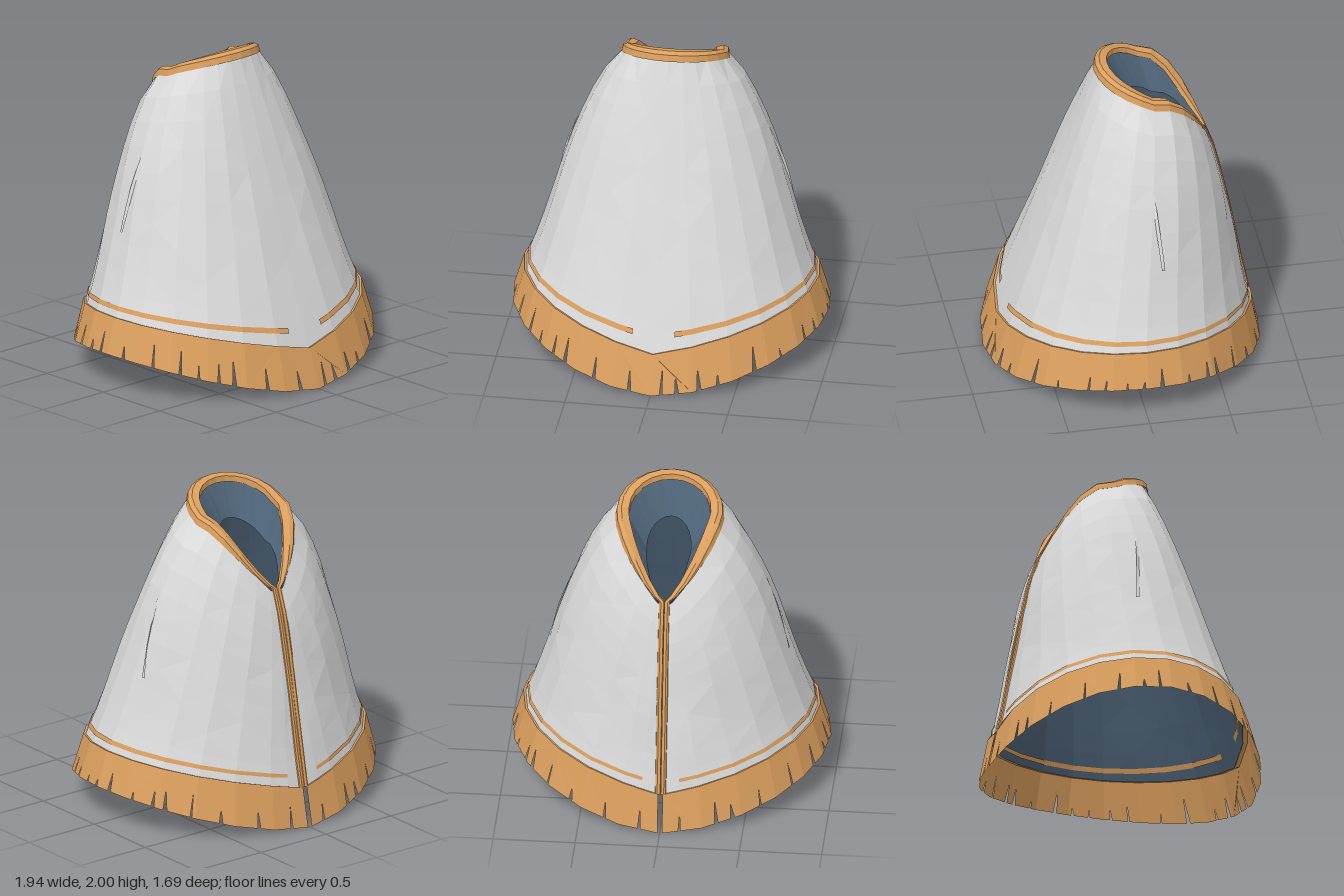
import * as THREE from 'three';

const PI = Math.PI;
const mix = THREE.MathUtils.lerp;
const V = (x, y, z) => new THREE.Vector3(x, y, z);

const cloth = new THREE.MeshStandardMaterial({ color: 0xdadada, side: THREE.DoubleSide });
cloth.name = 'pale cloth';
const outer = new THREE.MeshStandardMaterial({ color: 0xdadada });
outer.name = 'pale cloth outside';
const leather = new THREE.MeshStandardMaterial({ color: 0xdb9f5e, side: THREE.DoubleSide });
leather.name = 'tan leather';
const blue = new THREE.MeshStandardMaterial({ color: 0x4d6276, side: THREE.DoubleSide });
blue.name = 'blue lining';

// angles around the body: 0 is the front, +-PI the slit at the back
const angles = [];
for (let i = -12; i <= 12; i++) angles.push((i * PI) / 12);
angles.splice(1, 0, -PI * 0.96);
angles.splice(angles.length - 1, 0, PI * 0.96);

// teardrop neck edge, lowest at the back
function neck(a) {
  const c = Math.cos(a), s = Math.abs(Math.sin(a)), back = c < 0;
  const x = Math.sign(a) * Math.max(0.31 * Math.pow(s, back ? 1.35 : 1), a === 0 ? 0 : 0.014);
  const y = back ? 1.885 - 0.435 * Math.pow(-c, 2.2) : 1.885 + 0.115 * Math.pow(c, 0.85);
  return V(x, y, -0.15 + c * (back ? 0.38 : 0.29));
}

// lower cloth edge, raised at the sides
function hem(a) {
  const c = Math.cos(a), s = Math.abs(Math.sin(a));
  return V(Math.sign(a) * Math.max(0.89 * s, a === 0 ? 0 : 0.014), 0.24 + 0.21 * s, c * (c < 0 ? 0.78 : 0.75));
}

// lower fringe edge
function fringeEnd(a) {
  const c = Math.cos(a), s = Math.abs(Math.sin(a));
  return V(Math.sign(a) * Math.max(0.97 * s, a === 0 ? 0 : 0.014), 0.235 * Math.pow(s, 1.5), c * 0.845);
}

// cape surface: t runs from neck to hem, off pushes it outward
function cape(a, t, off = 0) {
  const s = Math.abs(Math.sin(a)), back = Math.cos(a) < 0;
  const top = neck(a);
  top.y -= 0.03;
  const k = back ? 0.07 + 0.296 * Math.pow(s, 1.2) : 0.366 * s * s;
  const swell = k * Math.pow(t, 0.7) * Math.pow(1 - t, 1.8);
  const ripple = 0.006 * Math.sin(PI * t) * Math.sin(a * 7.9) * Math.sin(t * 9 + a * 2);
  const r = swell + ripple + off;
  const p = top.lerp(hem(a), t);
  p.x += Math.sin(a) * r;
  p.z += Math.cos(a) * r;
  p.y += off * 0.3;
  return p;
}

// faceted surface through a grid of points
function grid(us, vs, fn) {
  const pos = [], idx = [], n = vs.length;
  us.forEach(u => vs.forEach(v => pos.push(...fn(u, v).toArray())));
  for (let i = 0; i < us.length - 1; i++)
    for (let j = 0; j < n - 1; j++) {
      const a = i * n + j, c = a + 1, b = a + n, d = b + 1;
      if ((i + j) % 2) idx.push(a, c, b, b, c, d);
      else idx.push(a, c, d, a, d, b);
    }
  const g = new THREE.BufferGeometry();
  g.setAttribute('position', new THREE.Float32BufferAttribute(pos, 3));
  g.setIndex(idx);
  return facet(g);
}

function facet(g) {
  const flat = g.index ? g.toNonIndexed() : g;
  flat.computeVertexNormals();
  return flat;
}

const steps = (n, a = 0, b = 1) => Array.from({ length: n + 1 }, (_, i) => mix(a, b, i / n));

export function createModel() {
  const model = new THREE.Group();
  const add = (name, geo, mat, parent = model) => {
    const m = new THREE.Mesh(geo, mat);
    m.name = name;
    parent.add(m);
    return m;
  };

  // cloth outside and lining inside
  const rows = steps(10);
  add('capeCloth', grid(angles, rows, (a, t) => cape(a, t)), outer);
  add('capeLining', grid(angles, rows, (a, t) => cape(a, t, -0.012)), blue);

  // lining funnel turned in at the neck
  const hole = a => {
    const c = Math.cos(a), s = Math.sin(a);
    const drop = c > 0 ? 0.24 : 0.24 - 0.18 * c * c;
    return V(0.135 * s, neck(a).y - drop, -0.22 + c * (c < 0 ? 0.26 : 0.19));
  };
  add('neckLining', grid(angles, [0, 1], (a, t) => {
    const p = neck(a);
    p.x -= Math.sin(a) * 0.04;
    p.z -= Math.cos(a) * (Math.cos(a) > 0 ? 0.04 : 0);
    p.y -= 0.03;
    return p.lerp(hole(a), t);
  }), blue);

  // leather binding: up one side of the slit, round the neck and down again
  const path = [];
  const slit = (side, t) => {
    const p = cape(side * PI, t, 0.014);
    p.x = side * 0.026;
    path.push({ p, out: V(side, 0, 0), up: V(0, 0, -1), size: 0.4 });
  };
  [...rows].reverse().forEach(t => { if (t > 0.02) slit(-1, t); });
  angles.forEach(a => {
    const k = Math.pow(Math.max(0, -Math.cos(a)), 4);
    const p = neck(a), side = Math.sign(a);
    p.x += side * 0.012 * k;
    path.push({
      p,
      out: V(Math.sin(a), 0, Math.cos(a)).lerp(V(side, 0, 0), k).normalize(),
      up: V(0, 1, 0).lerp(V(0, 0, -1), k).normalize(),
      size: mix(1, 0.4, k),
    });
  });
  rows.forEach(t => { if (t > 0.02) slit(1, t); });
  const section = [[-0.062, -0.045], [-0.06, -0.008], [-0.015, 0], [0.012, -0.015], [0.022, -0.055], [-0.062, -0.045]];
  add('neckAndSlitBinding', grid(path, section, (f, [o, u]) =>
    f.p.clone().addScaledVector(f.out, o * f.size).addScaledVector(f.up, u * f.size)), leather);

  // painted stripe above the hem, open at the front and at the slit
  const stripes = new THREE.Group();
  stripes.name = 'hemStripes';
  model.add(stripes);
  for (const side of [-1, 1]) {
    const span = [0.15, ...angles.filter(a => a > 0.2 && a < 2.95), 3.01].map(a => a * side);
    if (side < 0) span.reverse();
    for (const off of [0.006, -0.018])
      add(off > 0 ? 'outerStripe' : 'innerStripe', grid(span, [0, 1], (a, v) => {
        const s = Math.abs(Math.sin(a));
        return cape(a, 1 - mix(0.068, 0.047, s) + v * 0.019, off);
      }), leather, stripes);
  }

  // fringe panels with thin wedge cuts
  const fringe = new THREE.Group();
  fringe.name = 'fringe';
  model.add(fringe);
  let seed = 7;
  const rand = () => (seed = (seed * 16807) % 2147483647) / 2147483647;
  rand();
  const fringeTop = a => cape(a, 1, 0.014);
  for (let i = -12; i < 12; i++) {
    const a0 = (i * PI) / 12, a1 = ((i + 1) * PI) / 12;
    const shape = new THREE.Shape();
    shape.moveTo(0, 1);
    shape.lineTo(0, 0);
    const cuts = rand() < 0.55 ? [0.3, 0.75] : [0.5];
    cuts.forEach(base => {
      const u = base + (rand() - 0.5) * 0.3, w = 0.02 + rand() * 0.035;
      shape.lineTo(u - w, 0);
      shape.lineTo(u + (rand() - 0.5) * 0.08, 0.2 + rand() * 0.45);
      shape.lineTo(u + w, 0);
    });
    shape.lineTo(1, 0);
    shape.lineTo(1, 1);
    const g = new THREE.ShapeGeometry(shape);
    const pos = g.attributes.position;
    for (let j = 0; j < pos.count; j++) {
      const u = pos.getX(j), v = pos.getY(j);
      const low = fringeEnd(a0).lerp(fringeEnd(a1), u);
      const p = low.lerp(fringeTop(a0).lerp(fringeTop(a1), u), v);
      pos.setXYZ(j, p.x, p.y, p.z);
    }
    add('fringePanel', facet(g), leather, fringe);
  }
  // narrow ledges joining the fringe to the cloth and lining
  add('fringeLedge', grid(angles, [-0.016, 0.014], (a, off) => cape(a, 1, off)), leather, fringe);

  // raised fold at each arm opening
  for (const side of [-1, 1])
    add(side > 0 ? 'leftArmFold' : 'rightArmFold', grid([0, 1], steps(6), (u, v) =>
      cape(side * (mix(1.55, 1.68, v) + u * 0.03), mix(0.33, 0.66, v), 0.002 + u * 0.012 * Math.sin(PI * v))), cloth);

  return model;
}
